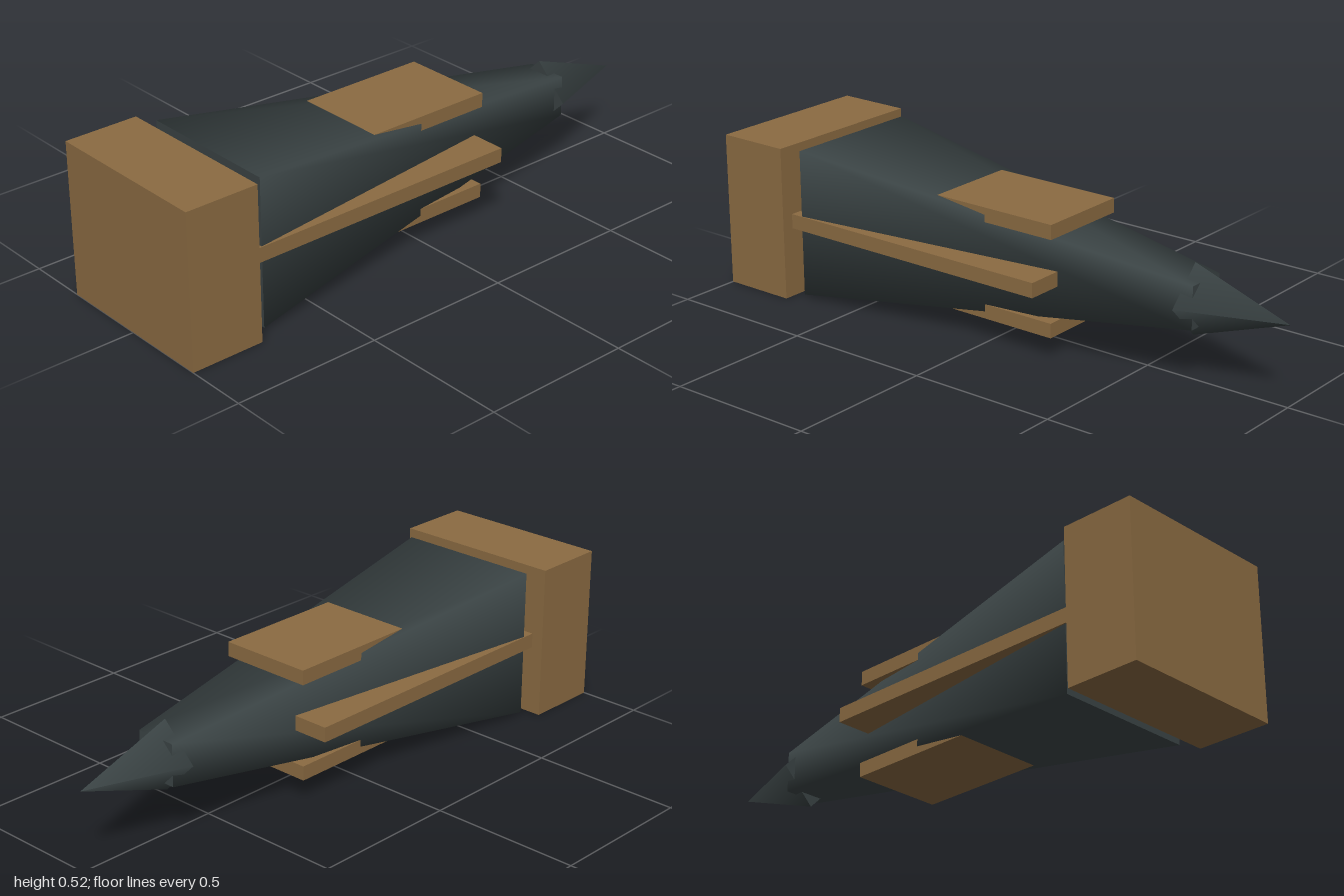
import * as THREE from 'three';

const CENTRE_Y = 0.259;

export function createModel() {
  const wood = new THREE.MeshStandardMaterial({ color: 0x8b6b42 });
  wood.name = 'brown wood';
  const metal = new THREE.MeshStandardMaterial({ color: 0x3a4344 });
  metal.name = 'dark metal';

  const model = new THREE.Group();
  model.name = 'model';

  const add = (name, geometry, material, x, y) => {
    const mesh = new THREE.Mesh(geometry, material);
    mesh.name = name;
    mesh.position.set(x, y, 0);
    model.add(mesh);
  };

  // Box spanning x0..x1, centred on z = 0
  const addBox = (name, x0, x1, y0, y1, depth) =>
    add(name, new THREE.BoxGeometry(x1 - x0, y1 - y0, depth), wood, (x0 + x1) / 2, (y0 + y1) / 2);

  // Smooth-shaded four-sided taper pointing along +x
  const addTaper = (name, x0, x1, r0, r1, turn) => {
    const geometry = new THREE.CylinderGeometry(r1, r0, x1 - x0, 4);
    geometry.rotateY(turn).rotateZ(-Math.PI / 2);
    add(name, geometry, metal, (x0 + x1) / 2, CENTRE_Y);
  };

  // Rear block
  addBox('rearBlock', -1, -0.75, 0, 0.517, 0.584);

  // Square tapered body and the diamond-section point
  addTaper('body', -0.708, 0.703, 0.248 * Math.SQRT2, 0.07 * Math.SQRT2, Math.PI / 4);
  addTaper('tip', 0.663, 0.995, 0.116, 0, 0);

  // Slats running forward from the block
  addBox('upperSlat', -0.75, 0.248, 0.395, 0.443, 0.32);
  addBox('middleSlat', -0.75, 0.248, 0.235, 0.284, 0.502);
  addBox('lowerSlat', -0.75, 0.248, 0.075, 0.123, 0.32);

  return model;
}
